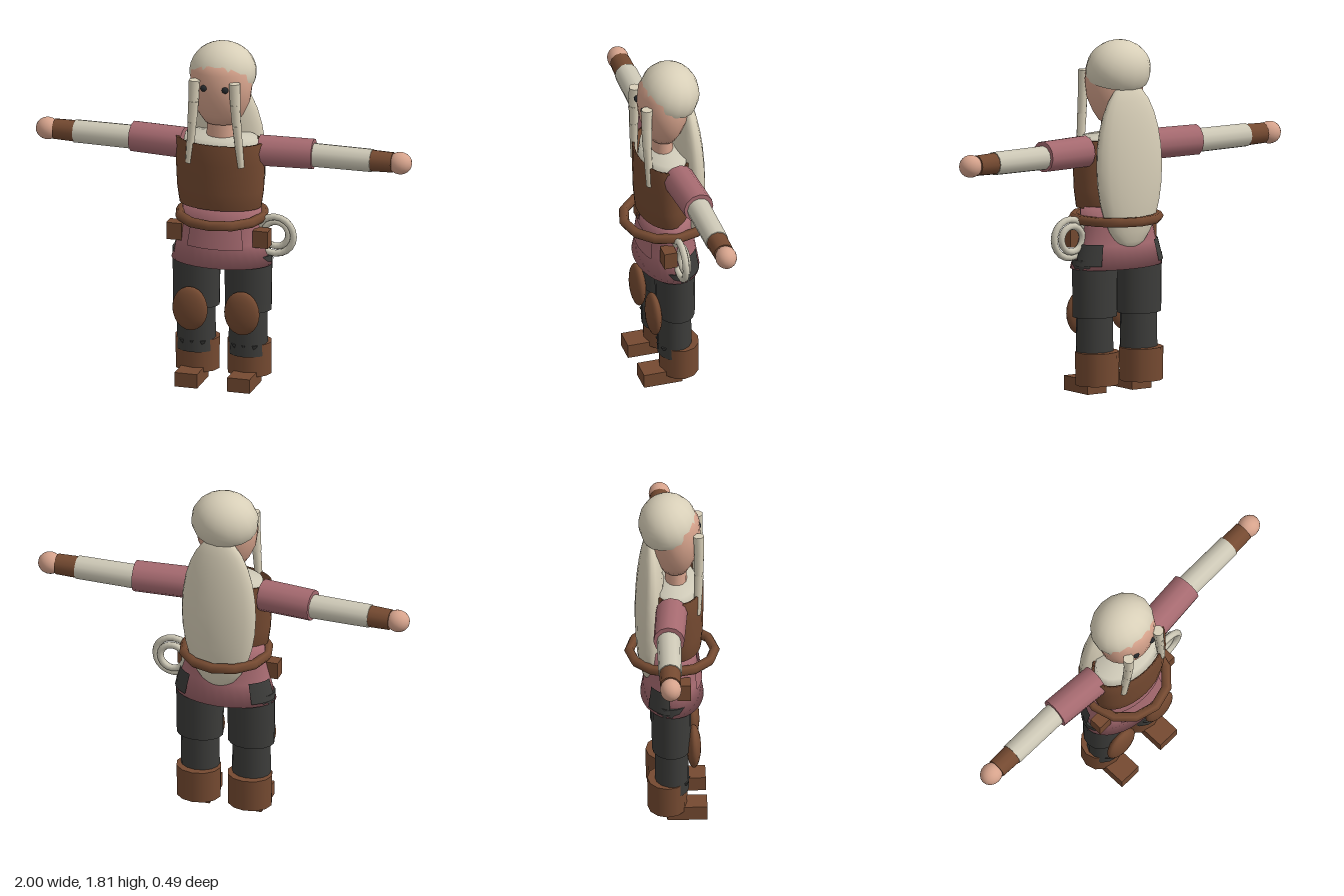
import * as THREE from 'three';

const mat = (color) => new THREE.MeshStandardMaterial({ color, side: THREE.DoubleSide });

export function createModel() {
  const model = new THREE.Group();
  const hair = mat(0xd8cfb8), skin = mat(0xd6a38c), pink = mat(0xa66a70), shirt = mat(0xcdc8b6);
  const brown = mat(0x754a31), dark = mat(0x3c3c3a), black = mat(0x25282b);

  const add = (name, geo, material, x = 0, y = 0, z = 0, parent = model) => {
    const mesh = new THREE.Mesh(geo, material);
    mesh.name = name;
    mesh.position.set(x, y, z);
    parent.add(mesh);
    return mesh;
  };
  const ball = (rx, ry, rz, w = 16, h = 12) => new THREE.SphereGeometry(1, w, h).scale(rx, ry, rz);
  const box = (w, h, d) => new THREE.BoxGeometry(w, h, d);
  // Turned body with an elliptical section; depth is the z to x ratio
  const turned = (points, depth, sides = 32) =>
    new THREE.LatheGeometry(points.map(([r, y]) => new THREE.Vector2(r, y)), sides).scale(1, 1, depth);
  // Tapered cylinder running between two points
  const limb = (name, material, a, b, ra, rb, sides = 12) => {
    const from = new THREE.Vector3(...a), to = new THREE.Vector3(...b);
    const dir = to.clone().sub(from);
    const mesh = add(name, new THREE.CylinderGeometry(rb, ra, dir.length(), sides), material);
    mesh.position.copy(from).add(to).multiplyScalar(0.5);
    mesh.quaternion.setFromUnitVectors(new THREE.Vector3(0, 1, 0), dir.normalize());
    return mesh;
  };

  // Head and neck
  add('head', turned([[0, 1.4], [0.085, 1.4], [0.12, 1.45], [0.152, 1.52], [0.163, 1.6],
    [0.155, 1.68], [0.13, 1.72], [0.08, 1.76], [0, 1.77]], 0.8, 20), skin, 0, 0, 0.015);
  add('neck', new THREE.CylinderGeometry(0.07, 0.076, 0.14, 14).scale(1, 1, 0.75), skin, 0, 1.36, 0.02);

  // Hair: cap, long fall down the back
  const cap = add('hairCap', new THREE.SphereGeometry(1, 16, 10, 0, Math.PI * 2, 0, Math.PI * 0.62)
    .scale(0.175, 0.155, 0.152), hair, 0, 1.66, -0.02);
  cap.rotation.x = -0.25;
  add('backHair', ball(0.2, 0.43, 0.075, 18, 14), hair, 0, 1.175, -0.115).rotation.x = 0.02;

  // Torso: shirt yoke, vest, tunic skirt and front flap
  add('shirtYoke', turned([[0, 1.335], [0.19, 1.325], [0.205, 1.25], [0.2, 1.1]], 0.6), shirt, 0, 0, 0.01);
  add('vest', turned([[0.2, 0.96], [0.215, 0.96], [0.228, 1.05], [0.235, 1.2], [0.233, 1.31],
    [0.215, 1.31], [0.21, 1.2]], 0.58), brown, 0, 0, 0.025);
  add('tunic', turned([[0, 0.65], [0.265, 0.65], [0.232, 0.77], [0.208, 0.86], [0.208, 0.97], [0, 0.97]], 0.61),
    pink, 0, 0, 0);
  add('tunicFlap', new THREE.CylinderGeometry(0.218, 0.245, 0.12, 12, 1, true, -0.66, 1.32)
    .scale(1, 1, 0.61), pink, 0, 0.81, 0.004);

  // Belt and coiled rope
  add('belt', new THREE.TorusGeometry(0.218, 0.026, 6, 12).rotateX(Math.PI / 2), brown, 0, 0.9, 0);
  [[0.098, 0.007], [0.066, -0.012]].forEach(([r, z]) =>
    add('ropeCoil', new THREE.TorusGeometry(r, 0.018, 8, 20), shirt, 0.285, 0.81, z));

  for (const s of [1, -1]) {
    // Face and front locks
    add('eye', ball(0.018, 0.017, 0.014, 10, 8), black, s * 0.057, 1.61, 0.136);
    const lock = new THREE.CatmullRomCurve3([[0.107, 1.65, 0.132], [0.113, 1.5, 0.135],
      [0.125, 1.35, 0.13], [0.138, 1.2, 0.125]].map(([x, y, z]) => new THREE.Vector3(s * x, y, z)));
    for (let i = 0; i < 4; i++) {
      limb('frontLock', hair, lock.getPoint(i / 4).toArray(), lock.getPoint((i + 1) / 4).toArray(),
        0.029 - i * 0.0025, 0.0265 - i * 0.0025, 8);
    }

    // Arms
    limb('upperSleeve', pink, [s * 0.2, 1.255, -0.008], [s * 0.48, 1.255, -0.03], 0.082, 0.08);
    limb('lowerSleeve', shirt, [s * 0.47, 1.25, -0.03], [s * 0.79, 1.25, -0.033], 0.062, 0.06);
    limb('cuff', brown, [s * 0.78, 1.25, -0.033], [s * 0.9, 1.25, -0.035], 0.056, 0.053);
    add('hand', ball(0.062, 0.058, 0.055), skin, s * 0.938, 1.25, -0.035);

    // Belt pouches and side patches on the tunic
    add('pouch', box(0.08, 0.09, 0.068), brown, s * 0.23, 0.805, 0.054);
    const start = s > 0 ? 0.53 : 1.23;
    add('sidePatch', new THREE.CylinderGeometry(0.235, 0.266, 0.11, 6, 1, true, start * Math.PI, 0.24 * Math.PI)
      .scale(1, 1, 0.61), dark, s * 0.003, 0.725, -0.003);

    // Legs
    const x = s * 0.138;
    add('thigh', new THREE.CylinderGeometry(0.126, 0.122, 0.3, 16).scale(1, 1, 0.81), dark, x, 0.55, -0.008);
    add('shin', new THREE.CylinderGeometry(0.098, 0.102, 0.26, 14).scale(1, 1, 0.86), dark, x, 0.29, -0.005);
    add('kneePad', ball(0.094, 0.117, 0.037, 18, 12), brown, x, 0.405, 0.107);

    // Boots with notched tops
    add('boot', new THREE.CylinderGeometry(0.118, 0.116, 0.17, 12).scale(1, 1, 0.87), brown, x, 0.135, -0.028);
    for (const k of [-1, 0, 1]) {
      add('bootNotch', new THREE.ConeGeometry(0.02, 0.038, 4).rotateX(Math.PI), dark,
        x + k * 0.05, 0.203, 0.07 - Math.abs(k) * 0.009);
    }
    add('foot', box(0.12, 0.075, 0.205), brown, s * 0.14, 0.0375, 0.0725);
  }
  return model;
}
